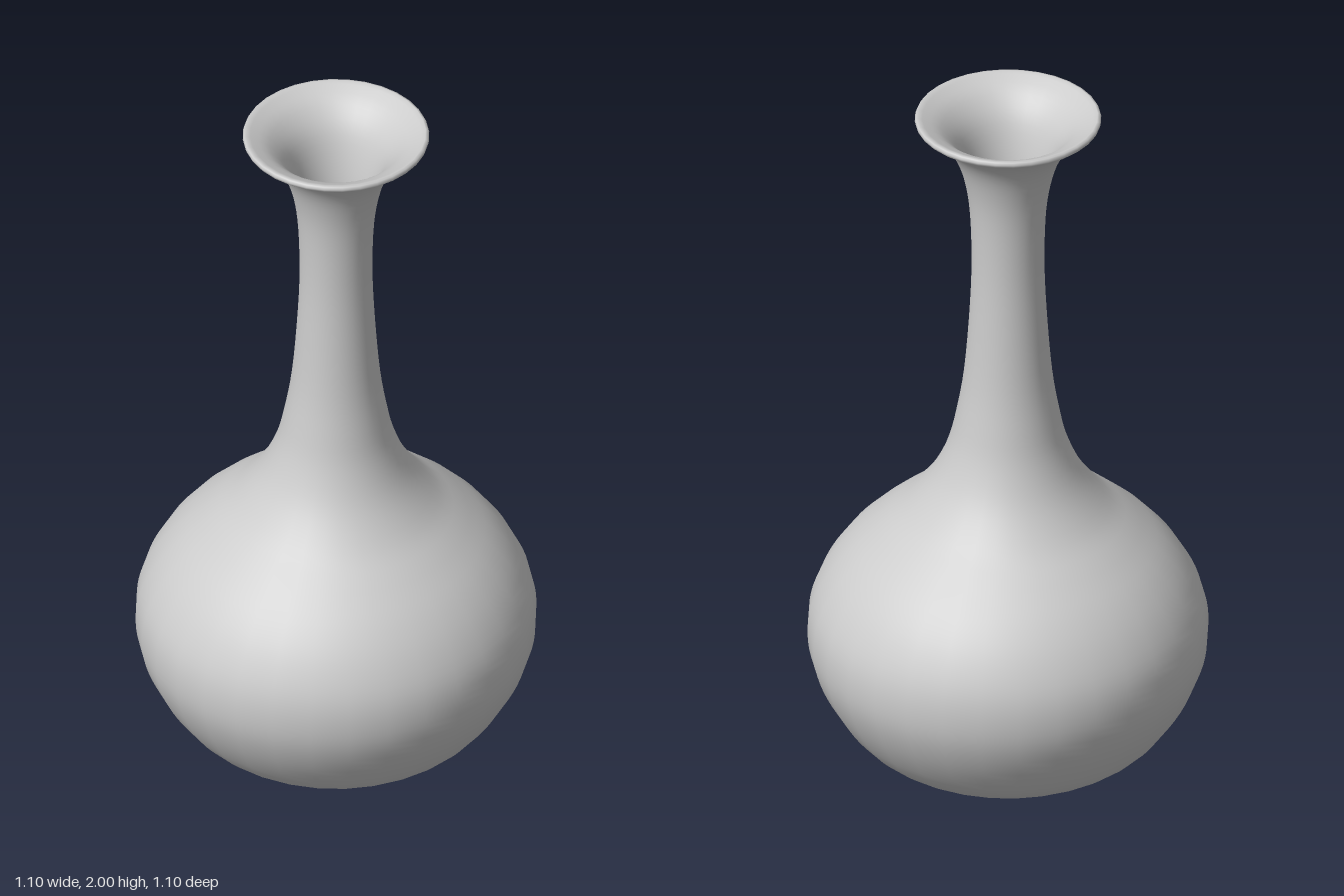
import * as THREE from 'three';

const SEGMENTS = 32;

// Smooth curve through a few [radius, height] points
function smoothProfile(points, divisions) {
  const curve = new THREE.SplineCurve(points.map(([r, y]) => new THREE.Vector2(r, y)));
  return curve.getPoints(divisions);
}

function lathePart(name, profile, material) {
  const mesh = new THREE.Mesh(new THREE.LatheGeometry(profile, SEGMENTS), material);
  mesh.name = name;
  return mesh;
}

export function createModel() {
  const group = new THREE.Group();
  group.name = 'vase';
  const material = new THREE.MeshStandardMaterial({ color: 0xcccccc });

  // Outside: rounded foot, bulbous belly, long neck, flared lip
  const outer = smoothProfile([
    [0.23, 0], [0.33, 0.025], [0.42, 0.085], [0.49, 0.18], [0.535, 0.28],
    [0.55, 0.37], [0.54, 0.46], [0.5, 0.55], [0.44, 0.63], [0.36, 0.705],
    [0.28, 0.775], [0.21, 0.865], [0.165, 0.965], [0.14, 1.07], [0.12, 1.2],
    [0.105, 1.4], [0.1, 1.55], [0.105, 1.7], [0.12, 1.8], [0.147, 1.88],
    [0.19, 1.94], [0.247, 1.978],
  ], 80);

  // Rolled edge of the lip
  const rim = [[0.254, 1.984], [0.256, 1.991], [0.253, 1.998], [0.246, 2]]
    .map(([r, y]) => new THREE.Vector2(r, y));

  // Inside: funnel mouth, throat and hollow belly
  const inner = smoothProfile([
    [0.235, 1.995], [0.185, 1.965], [0.137, 1.905], [0.106, 1.81], [0.09, 1.7],
    [0.085, 1.55], [0.09, 1.4], [0.105, 1.2], [0.125, 1.07], [0.15, 0.96],
    [0.196, 0.855], [0.27, 0.76], [0.35, 0.69], [0.43, 0.615], [0.487, 0.54],
    [0.525, 0.455], [0.535, 0.37], [0.52, 0.285], [0.476, 0.19], [0.41, 0.1],
    [0.325, 0.04], [0.23, 0.018],
  ], 80);

  group.add(lathePart('body', [...outer, ...rim, ...inner], material));

  // Flat underside and inner floor
  const base = [new THREE.Vector2(0, 0), new THREE.Vector2(0.23, 0)];
  const floor = [new THREE.Vector2(0.23, 0.018), new THREE.Vector2(0, 0.018)];
  group.add(lathePart('base', base, material), lathePart('innerFloor', floor, material));

  return group;
}
